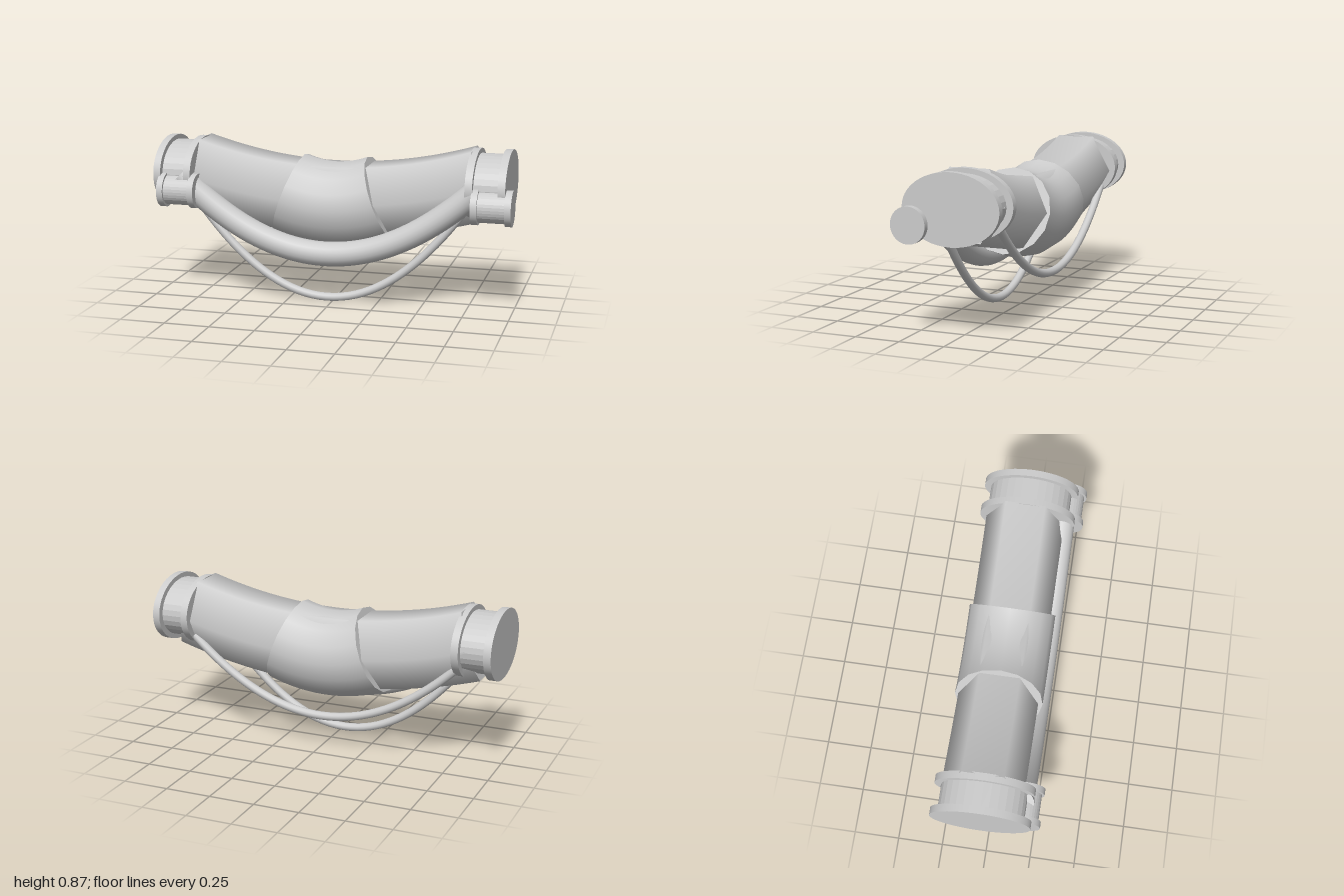
import * as THREE from 'three';
import { mergeGeometries } from 'three/addons/utils/BufferGeometryUtils.js';

export function createModel() {
  const group = new THREE.Group();
  const grey = new THREE.MeshStandardMaterial({ color: 0xcccccc });
  grey.name = 'lightGrey';

  const add = (name, geometry) => {
    const mesh = new THREE.Mesh(geometry, grey);
    mesh.name = name;
    group.add(mesh);
    return mesh;
  };

  // Capped tube hanging along a parabola in the xy plane
  const saggingTube = (name, { cx, half, yMid, yEnd, z, r, sides, steps = 48 }) => {
    const curve = new THREE.QuadraticBezierCurve3(
      new THREE.Vector3(cx - half, yEnd, z),
      new THREE.Vector3(cx, 2 * yMid - yEnd, z),
      new THREE.Vector3(cx + half, yEnd, z)
    );
    const parts = [new THREE.TubeGeometry(curve, steps, r, sides, false)];
    for (const t of [0, 1]) {
      const holder = new THREE.Object3D();
      const outward = curve.getTangent(t).multiplyScalar(t ? 1 : -1);
      holder.lookAt(outward);
      holder.position.copy(curve.getPoint(t));
      holder.updateMatrix();
      parts.push(new THREE.CircleGeometry(r, sides).applyMatrix4(holder.matrix));
    }
    return add(name, mergeGeometries(parts));
  };

  // Elliptical disc or drum lying along x, from x0 to x1
  const drum = (name, x0, x1, y, z, ry, rz, faceted = false) => {
    let g = new THREE.CylinderGeometry(1, 1, x1 - x0, faceted ? 32 : 48);
    g.rotateZ(Math.PI / 2);
    g.scale(1, ry, rz);
    g.translate((x0 + x1) / 2, y, z);
    if (faceted) {
      g = g.toNonIndexed();
      g.computeVertexNormals();
    }
    return add(name, g);
  };

  // Main six-sided pipe and the sleeve around its middle
  saggingTube('mainPipe', { cx: -0.02, half: 0.83, yMid: 0.56, yEnd: 0.69, z: -0.033, r: 0.219, sides: 6 });
  saggingTube('middleSleeve', { cx: -0.02, half: 0.262, yMid: 0.525, yEnd: 0.573, z: -0.03, r: 0.24, sides: 16, steps: 24 });

  // Hose and two thin cables
  saggingTube('hose', { cx: -0.03, half: 0.83, yMid: 0.285, yEnd: 0.68, z: 0.175, r: 0.068, sides: 20 });
  saggingTube('frontCable', { cx: -0.03, half: 0.79, yMid: 0.027, yEnd: 0.6, z: 0.13, r: 0.023, sides: 12 });
  saggingTube('backCable', { cx: -0.02, half: 0.77, yMid: 0.205, yEnd: 0.575, z: -0.193, r: 0.023, sides: 12 });

  // Flanged couplings at both ends: two discs joined by a narrower drum
  const coupling = (name, x0, x1, disc, y, z, ry, rz, neck) => {
    drum(name + 'OuterFlange', x0, x0 + disc, y, z, ry, rz);
    drum(name + 'InnerFlange', x1 - disc, x1, y, z, ry, rz);
    drum(name + 'Neck', x0 + disc / 2, x1 - disc / 2, y, z, ry * neck, rz * neck, true);
  };
  coupling('rightMain', -1, -0.785, 0.04, 0.6875, -0.022, 0.1875, 0.265, 0.86);
  coupling('leftMain', 0.748, 0.962, 0.04, 0.6875, -0.022, 0.1875, 0.265, 0.86);
  coupling('rightHose', -0.968, -0.755, 0.035, 0.602, 0.194, 0.096, 0.096, 0.86);
  coupling('leftHose', 0.785, 1, 0.035, 0.602, 0.194, 0.096, 0.096, 0.86);

  return group;
}
